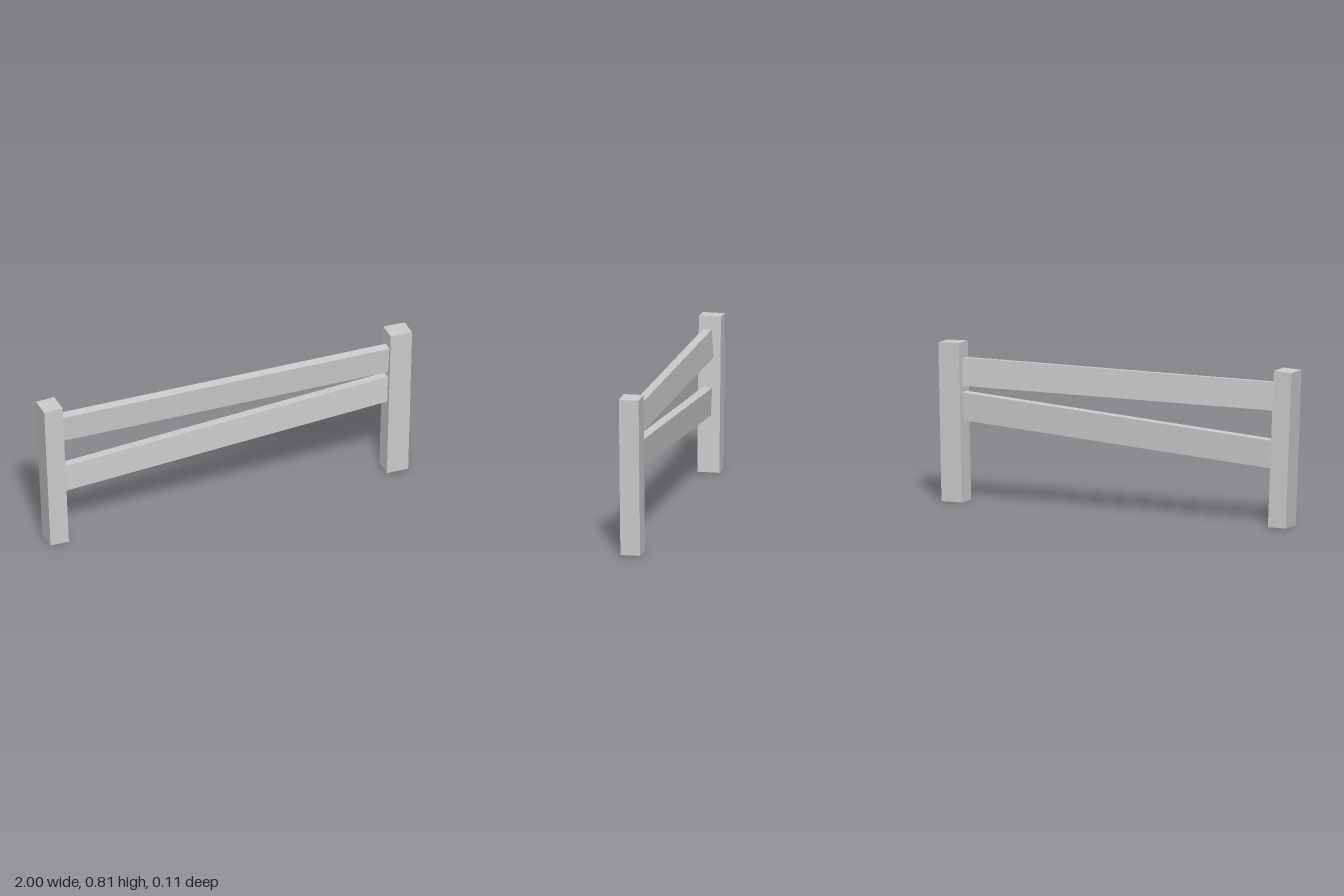
import * as THREE from 'three';

const material = new THREE.MeshStandardMaterial({ color: 0xcccccc, flatShading: true });

// Box whose unit corners (-0.5..0.5) are moved by a rule
function shapedBox(name, rule) {
  const geometry = new THREE.BoxGeometry(1, 1, 1);
  const p = geometry.attributes.position;
  for (let i = 0; i < p.count; i++) {
    p.setXYZ(i, ...rule(p.getX(i), p.getY(i), p.getZ(i)));
  }
  geometry.computeVertexNormals();
  const mesh = new THREE.Mesh(geometry, material);
  mesh.name = name;
  return mesh;
}

// Leaning post with a level foot and a slightly tilted top
function post(name, { width, depth, height, footX, topX, footZ, topZ, topSlope }) {
  return shapedBox(name, (x, y, z) => {
    const t = y + 0.5;
    return [
      THREE.MathUtils.lerp(footX, topX, t) + x * width,
      t * (height + x * topSlope),
      THREE.MathUtils.lerp(footZ, topZ, t) + z * depth,
    ];
  });
}

// Plank between the posts, with its ends sunk into them; lean tips its top edge forward
function rail(name, { startY, endY, lean, startZ, endZ }) {
  const height = 0.143, thickness = 0.048;
  return shapedBox(name, (x, y, z) => {
    const t = x + 0.5;
    return [
      THREE.MathUtils.lerp(-0.9, 0.89, t),
      THREE.MathUtils.lerp(startY, endY, t) + y * height - z * thickness * lean,
      THREE.MathUtils.lerp(startZ, endZ, t) + z * thickness + y * height * lean,
    ];
  });
}

export function createModel() {
  const group = new THREE.Group();
  group.name = 'fence';

  group.add(
    post('rightPost', {
      width: 0.1, depth: 0.114, height: 0.8, footX: -0.916, topX: -0.95,
      footZ: 0.001, topZ: 0, topSlope: 0.005,
    }),
    post('leftPost', {
      width: 0.116, depth: 0.102, height: 0.811, footX: 0.922, topX: 0.942,
      footZ: -0.001, topZ: 0.003, topSlope: -0.003,
    }),
    rail('upperRail', { startY: 0.661, endY: 0.661, lean: 0.07, startZ: 0.009, endZ: 0.011 }),
    rail('lowerRail', { startY: 0.363, endY: 0.488, lean: -0.04, startZ: 0.012, endZ: 0.008 }),
  );
  return group;
}
